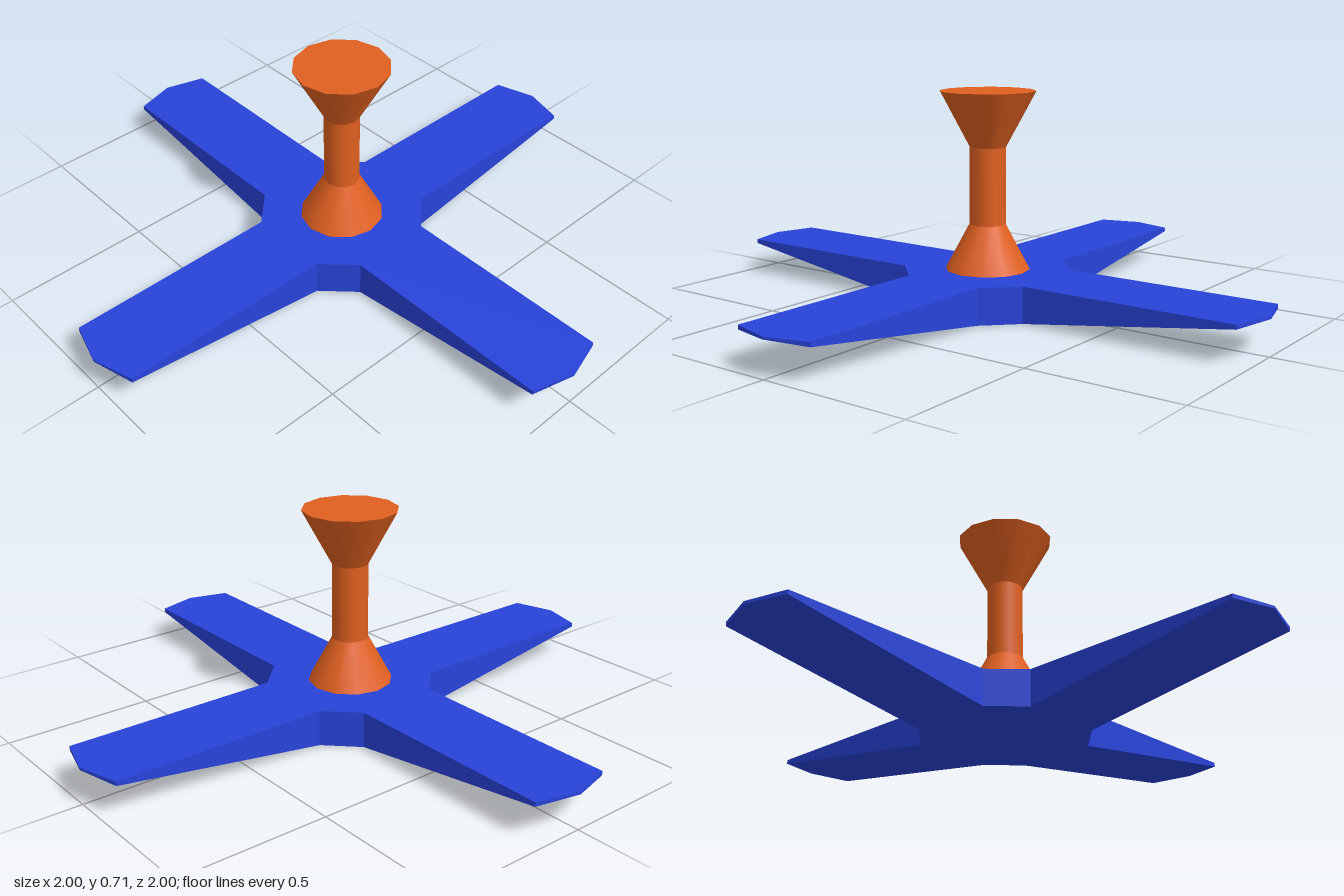
import * as THREE from 'three';

const BASE_H = 0.12, HALF_W = 0.14, HUB = 0.24, ARM_LEN = 1.0, TIP_Y = 0.112;

// Flat slab standing on y = 0, outlined by [x, z] points
function slab(points) {
  const shape = new THREE.Shape(points.map(([x, z]) => new THREE.Vector2(x, z)));
  const geo = new THREE.ExtrudeGeometry(shape, { depth: BASE_H, bevelEnabled: false });
  return geo.rotateX(-Math.PI / 2);
}

function add(parent, name, geo, mat) {
  const mesh = new THREE.Mesh(geo, mat);
  mesh.name = name;
  parent.add(mesh);
  return mesh;
}

export function createModel() {
  const model = new THREE.Group();
  model.name = 'crossBaseStand';
  const blue = new THREE.MeshStandardMaterial({ color: 0x2843d9, flatShading: true });
  const orange = new THREE.MeshStandardMaterial({ color: 0xe06020 });

  // Base: octagonal hub with four tapering arms
  const base = new THREE.Group();
  base.name = 'base';
  model.add(base);
  const a = HALF_W, b = HUB;
  add(base, 'hub', slab([[b, -a], [b, a], [a, b], [-a, b], [-b, a], [-b, -a], [-a, -b], [a, -b]]), blue);

  // Arm: pointed plank whose underside rises toward the tip
  const armGeo = slab([[b, -a], [ARM_LEN - 0.04, -a], [ARM_LEN, 0], [ARM_LEN - 0.04, a], [b, a]]);
  const pos = armGeo.attributes.position;
  for (let i = 0; i < pos.count; i++) {
    if (pos.getY(i) < BASE_H / 2) pos.setY(i, TIP_Y * (pos.getX(i) - b) / (ARM_LEN - b));
  }
  armGeo.computeVertexNormals();
  ['left', 'back', 'right', 'front'].forEach((side, i) => {
    add(base, side + 'Arm', armGeo, blue).rotation.y = i * Math.PI / 2;
  });

  // Post: flared foot, straight stem and flared head, twelve-sided
  const post = new THREE.Group();
  post.name = 'post';
  model.add(post);
  const sections = [
    ['foot', 0.14, 0.06, BASE_H, 0.27],
    ['stem', 0.06, 0.06, 0.27, 0.525],
    ['head', 0.06, 0.158, 0.525, 0.708],
  ];
  for (const [name, rBottom, rTop, y0, y1] of sections) {
    const geo = new THREE.CylinderGeometry(rTop, rBottom, y1 - y0, 12);
    add(post, name, geo, orange).position.y = (y0 + y1) / 2;
  }
  return model;
}
